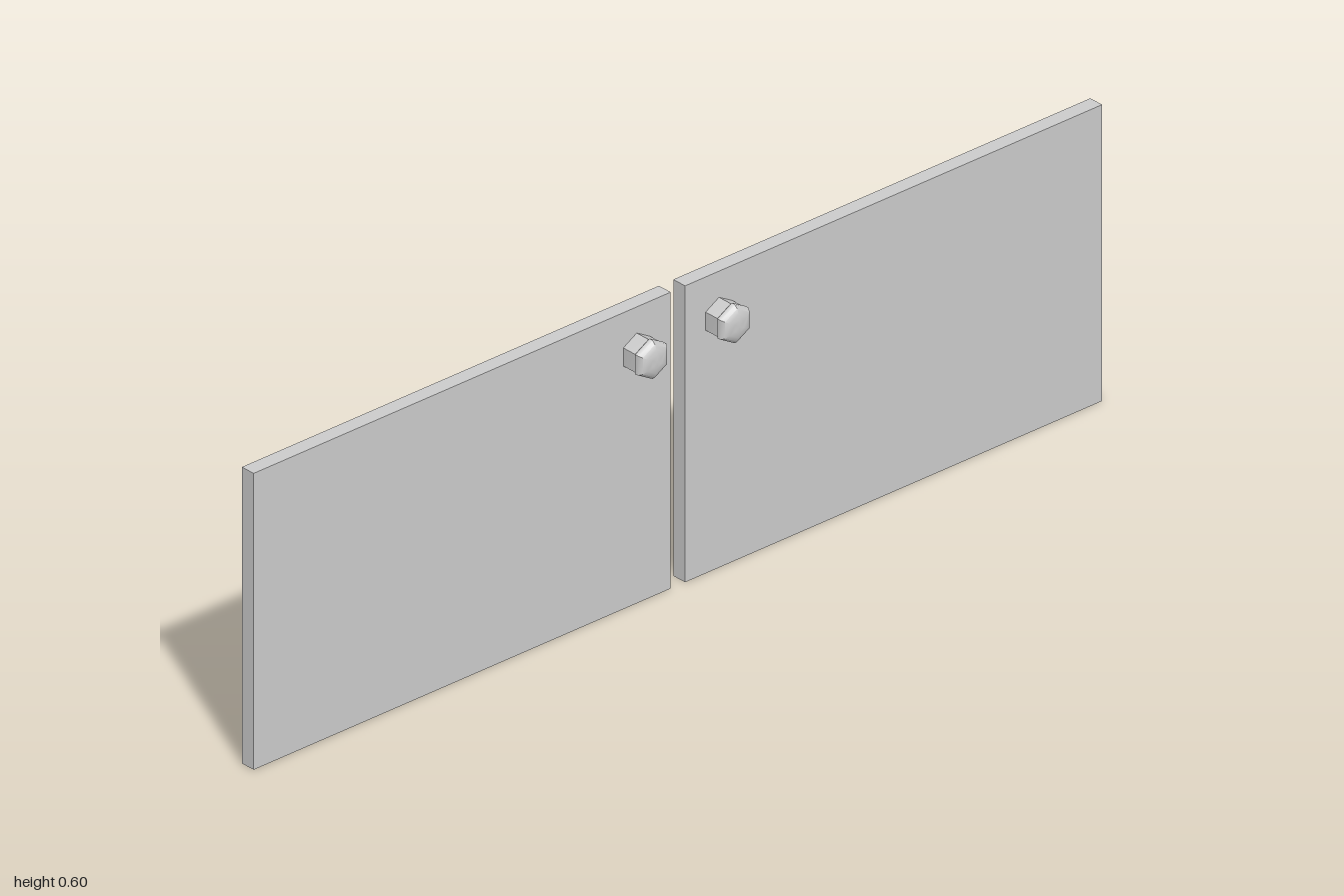
import * as THREE from 'three';
import { mergeGeometries, toCreasedNormals } from 'three/addons/utils/BufferGeometryUtils.js';

const HEIGHT = 0.596, WIDTH = 0.983, DEPTH = 0.031;
const FRONT_Z = -0.011, PANEL_X = 1 - WIDTH / 2;
const KNOB_X = 0.097, KNOB_Y = 0.507, STEM_R = 0.0365;

const material = new THREE.MeshStandardMaterial({ color: 0xcccccc, side: THREE.DoubleSide });

// Thin door front with a hexagonal knob hole and four side walls, open at the back
function panelGeometry(side) {
  const w = WIDTH / 2, h = HEIGHT / 2;
  const shape = new THREE.Shape();
  shape.moveTo(-w, -h).lineTo(w, -h).lineTo(w, h).lineTo(-w, h).closePath();
  const hole = [];
  for (let i = 0; i < 6; i++) {
    const a = -i * Math.PI / 3;
    hole.push(new THREE.Vector2(
      side * (KNOB_X - PANEL_X) + STEM_R * Math.sin(a),
      KNOB_Y - h + STEM_R * Math.cos(a)));
  }
  shape.holes.push(new THREE.Path(hole));
  const parts = [new THREE.ShapeGeometry(shape)];
  for (const s of [-1, 1]) {
    parts.push(new THREE.PlaneGeometry(WIDTH, DEPTH).rotateX(-s * Math.PI / 2).translate(0, s * h, -DEPTH / 2));
    parts.push(new THREE.PlaneGeometry(DEPTH, HEIGHT).rotateY(s * Math.PI / 2).translate(s * w, 0, -DEPTH / 2));
  }
  return mergeGeometries(parts);
}

// Hollow six-sided knob: straight stem, flared rim and shallow dome
function knobGeometry() {
  const profile = [
    [STEM_R, 0], [STEM_R, 0.031], [0.0395, 0.034], [0.0385, 0.042],
    [0.033, 0.048], [0.024, 0.052], [0.012, 0.054], [0, 0.0545],
  ].map(([r, z]) => new THREE.Vector2(r, z));
  const lathe = new THREE.LatheGeometry(profile, 6).rotateX(Math.PI / 2);
  return toCreasedNormals(lathe, 0.7);
}

export function createModel() {
  const model = new THREE.Group();
  model.name = 'doublePanelDoors';
  const knobShape = knobGeometry();
  for (const side of [-1, 1]) {
    const prefix = side > 0 ? 'left' : 'right';
    const panel = new THREE.Mesh(panelGeometry(side), material);
    panel.name = prefix + 'Panel';
    panel.position.set(side * PANEL_X, HEIGHT / 2, FRONT_Z);
    const knob = new THREE.Mesh(knobShape, material);
    knob.name = prefix + 'Knob';
    knob.position.set(side * KNOB_X, KNOB_Y, FRONT_Z);
    model.add(panel, knob);
  }
  return model;
}
